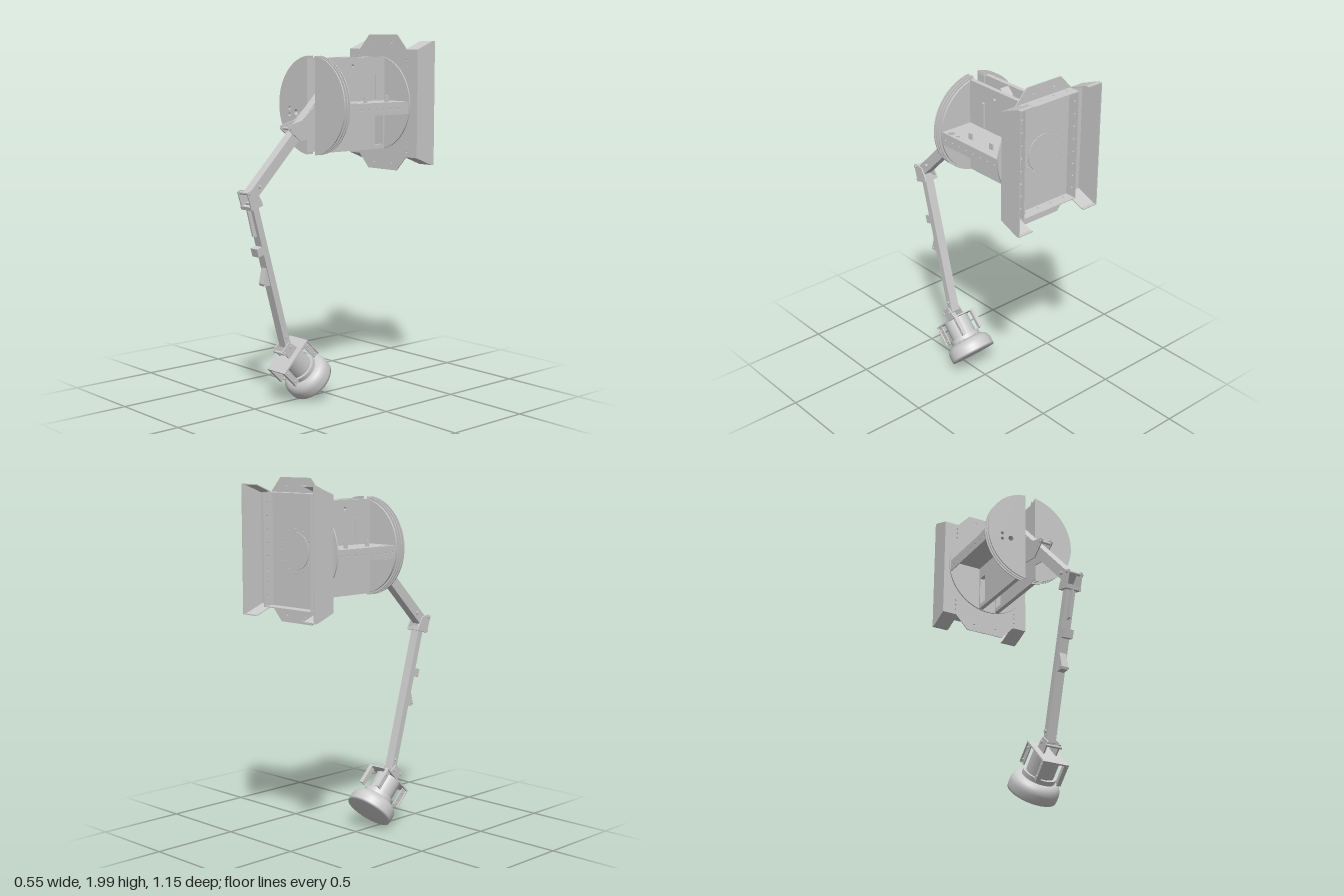
import * as THREE from 'three';

const material = new THREE.MeshStandardMaterial({ color: 0xcccccc, side: THREE.DoubleSide });
const CY = 1.62; // height of the drum axis

function add(parent, name, geometry, x = 0, y = 0, z = 0) {
  const mesh = new THREE.Mesh(geometry, material);
  mesh.name = name;
  mesh.position.set(x, y, z);
  parent.add(mesh);
  return mesh;
}

const box = (parent, name, w, h, d, x, y, z) =>
  add(parent, name, new THREE.BoxGeometry(w, h, d), x, y, z);

const shapeOf = (points) => new THREE.Shape(points.map(([a, b]) => new THREE.Vector2(a, b)));

function punch(shape, x, y, r) {
  shape.holes.push(new THREE.Path().absarc(x, y, r, 0, Math.PI * 2, true));
}

const extrude = (shape, depth) =>
  new THREE.ExtrudeGeometry(shape, { depth, bevelEnabled: false, curveSegments: 32 });

// Plate lying in the z-y plane, spanning x0 to x1
function sidePlate(parent, name, shape, x0, x1) {
  const mesh = add(parent, name, extrude(shape, x1 - x0), x1);
  mesh.rotation.y = -Math.PI / 2;
  return mesh;
}

// Square tube between two [z, y] points
function beam(parent, name, a, b, width, thick) {
  const dz = b[0] - a[0], dy = b[1] - a[1];
  const mesh = box(parent, name, width, Math.hypot(dz, dy), thick,
    0, (a[1] + b[1]) / 2, (a[0] + b[0]) / 2);
  mesh.rotation.x = Math.atan2(dz, dy);
}

// Bolt running along x
function pin(parent, name, z, y, half, r) {
  add(parent, name, new THREE.CylinderGeometry(r, r, half * 2, 16), 0, y, z).rotation.z = Math.PI / 2;
}

// Half disc left beside the central slot, on side s
function halfDisc(r, s, cut) {
  const a = Math.acos(cut / r), mid = s > 0 ? 0 : Math.PI;
  return new THREE.Shape().absarc(0, 0, r, mid - a, mid + a, false);
}

function buildBackPlate(parent) {
  const g = new THREE.Group();
  g.name = 'backPlate';
  parent.add(g);
  const quarter = [[0.115, 0.38], [0.19, 0.3], [0.275, 0.3]];
  const outline = [
    ...quarter, ...quarter.map(([x, y]) => [x, -y]).reverse(),
    ...quarter.map(([x, y]) => [-x, -y]), ...quarter.map(([x, y]) => [-x, y]).reverse(),
  ];
  const plate = shapeOf(outline);
  for (const s of [1, -1]) for (const t of [1, -1]) {
    punch(plate, s * 0.07, t * 0.34, 0.005);
    for (const y of [0.21, 0.24, 0.27]) punch(plate, s * 0.195, t * y, 0.005);
  }
  add(g, 'mountPlate', extrude(plate, 0.005), 0, CY, -0.444);

  for (const s of [1, -1]) {
    // Side channel: outer wall plus sloping ends
    const wall = shapeOf([[-0.44, 1.92], [-0.555, 1.965], [-0.575, 1.965],
      [-0.575, 1.275], [-0.555, 1.275], [-0.44, 1.32]]);
    sidePlate(g, 'wingWall', wall, s * 0.2725 - 0.0025, s * 0.2725 + 0.0025);
    for (const t of [1, -1]) {
      const end = [[-0.44, 0.3], [-0.555, 0.345], [-0.575, 0.345],
        [-0.575, 0.34], [-0.555, 0.34], [-0.44, 0.295]].map(([z, y]) => [z, CY + t * y]);
      sidePlate(g, 'wingEnd', shapeOf(end), s * 0.2275 - 0.0475, s * 0.2275 + 0.0475);
    }
    // Rear tray walls, drilled for bolts
    const trayWall = shapeOf([[-0.442, 1.32], [-0.51, 1.32], [-0.51, 1.92], [-0.442, 1.92]]);
    for (let i = 0; i < 8; i++) punch(trayWall, -0.486, 1.375 + i * 0.07, 0.006);
    sidePlate(g, 'traySide', trayWall, s * 0.18 - 0.0025, s * 0.18 + 0.0025);
    const end = shapeOf([[-0.18, -0.51], [0.18, -0.51], [0.18, -0.442], [-0.18, -0.442]]);
    for (const x of [-0.135, -0.045, 0.045, 0.135]) punch(end, x, -0.466, 0.006);
    add(g, 'trayEnd', extrude(end, 0.005), 0, CY + s * 0.3 + 0.0025, 0).rotation.x = Math.PI / 2;
  }
  // Round cover with its ring of bolts
  const cover = add(g, 'bearingCover', new THREE.CylinderGeometry(0.1, 0.1, 0.004, 48), 0, CY, -0.446);
  cover.rotation.x = Math.PI / 2;
  for (let i = 0; i < 12; i++) {
    const a = i * Math.PI / 6;
    add(g, 'coverBolt', new THREE.CylinderGeometry(0.004, 0.004, 0.006, 8),
      0.115 * Math.cos(a), CY + 0.115 * Math.sin(a), -0.446).rotation.x = Math.PI / 2;
  }
}

function buildDrum(parent) {
  const g = new THREE.Group();
  g.name = 'drum';
  parent.add(g);
  const rear = add(g, 'rearDisc', new THREE.CylinderGeometry(0.262, 0.262, 0.008, 64), 0, CY, -0.395);
  rear.rotation.x = Math.PI / 2;
  for (const s of [1, -1]) {
    // Split front disc with thin raised rims
    const rims = [[0.257, 0.045, 0.05], [0.27, 0.055, 0.004], [0.27, 0.073, 0.004], [0.27, 0.092, 0.006]];
    for (const [r, z, depth] of rims) {
      const half = halfDisc(r, s, 0.032);
      if (s < 0) {
        punch(half, -0.125, -0.04, 0.016);
        punch(half, -0.18, -0.02, 0.01);
        punch(half, -0.18, -0.055, 0.01);
      }
      add(g, 'frontDiscHalf', extrude(half, depth), 0, CY, z);
    }
    // Inner wall with a window
    const wall = shapeOf([[0.045, 1.365], [0.045, 1.877], [-0.391, 1.877], [-0.391, 1.365]]);
    wall.holes.push(new THREE.Path([[-0.32, 1.39], [-0.38, 1.39], [-0.38, 1.56], [-0.32, 1.56]]
      .map(([z, y]) => new THREE.Vector2(z, y))));
    punch(wall, -0.148, 1.83, 0.009);
    sidePlate(g, 'innerWall', wall, s * 0.0525 - 0.0125, s * 0.0525 + 0.0125);
    // Shelf (shape y is flipped z) with two holes and a drilled lip
    const shelf = shapeOf([[s * 0.06, -0.045], [s * 0.255, -0.045], [s * 0.255, 0.391], [s * 0.06, 0.391]]);
    punch(shelf, s * 0.23, 0, 0.018);
    punch(shelf, s * 0.23, 0.05, 0.01);
    add(g, 'shelf', extrude(shelf, 0.006), 0, 1.63, 0).rotation.x = -Math.PI / 2;
    const lip = shapeOf([[0.045, 1.567], [0.045, 1.636], [-0.391, 1.636], [-0.391, 1.567]]);
    for (let i = 0; i < 8; i++) punch(lip, 0.02 - i * 0.055, 1.6, 0.005);
    sidePlate(g, 'shelfLip', lip, s * 0.2525 - 0.0025, s * 0.2525 + 0.0025);
    // Wall bars, shelf clips and inner pegs
    for (const z of [-0.065, -0.325]) box(g, 'wallBar', 0.012, 0.135, 0.018, s * 0.069, 1.715, z);
    for (const z of [-0.118, -0.278]) box(g, 'shelfClip', 0.008, 0.034, 0.024, s * 0.2, 1.652, z);
    box(g, 'innerPeg', 0.026, 0.014, 0.014, s * 0.028, 1.76, -0.225);
  }
}

function buildArm(parent) {
  const g = new THREE.Group();
  g.name = 'arm';
  parent.add(g);
  beam(g, 'upperArm', [0.52, 1.165], [-0.17, 1.86], 0.055, 0.058);
  beam(g, 'lowerArm', [0.512, 1.13], [0.285, 0.32], 0.054, 0.037);

  // Shoulder and elbow cheeks on both sides of the arm
  const shoulder = [[0.29, 1.505], [0.285, 1.52], [0.19, 1.545], [0.1, 1.62], [0.1, 1.45], [0.2, 1.435], [0.265, 1.485]];
  const elbow = [[0.572, 1.185], [0.555, 1.195], [0.505, 1.185], [0.47, 1.125], [0.545, 1.1]];
  for (const s of [1, -1]) {
    sidePlate(g, 'shoulderCheek', shapeOf(shoulder), s * 0.031 - 0.003, s * 0.031 + 0.003);
    sidePlate(g, 'elbowCheek', shapeOf(elbow), s * 0.04 - 0.004, s * 0.04 + 0.004);
  }
  pin(g, 'shoulderBolt', 0.265, 1.505, 0.04, 0.008);
  pin(g, 'elbowBolt', 0.555, 1.18, 0.052, 0.009);
  pin(g, 'elbowBolt', 0.475, 1.21, 0.04, 0.009);
  pin(g, 'innerBolt', -0.155, 1.845, 0.038, 0.008);
  beam(g, 'elbowFlange', [0.512, 1.118], [0.507, 1.1], 0.09, 0.08);

  // Stiffener, cable clip and lug on the front of the lower arm
  const fin = [[0.545, 1.1], [0.505, 0.945], [0.49, 0.94], [0.455, 0.945], [0.5, 1.11]];
  sidePlate(g, 'elbowStiffener', shapeOf(fin), -0.005, 0.005);
  beam(g, 'cableClip', [0.477, 0.885], [0.464, 0.84], 0.054, 0.045);
  const lug = [[0.425, 0.79], [0.45, 0.685], [0.445, 0.672], [0.395, 0.672]];
  sidePlate(g, 'cableLug', shapeOf(lug), -0.02, 0.02);
  pin(g, 'lugBolt', 0.44, 0.685, 0.027, 0.005);

  // Wrist fork
  const fork = [[0.335, 0.3], [0.325, 0.315], [0.29, 0.345], [0.27, 0.335], [0.235, 0.31], [0.29, 0.255]];
  for (const s of [1, -1])
    sidePlate(g, 'wristCheek', shapeOf(fork), s * 0.036 - 0.004, s * 0.036 + 0.004);
  pin(g, 'wristBolt', 0.298, 0.375, 0.036, 0.008);
  pin(g, 'wristBolt', 0.325, 0.288, 0.048, 0.008);
  pin(g, 'wristBolt', 0.278, 0.32, 0.048, 0.008);
}

function buildHead(parent) {
  const g = new THREE.Group();
  g.name = 'head';
  g.position.set(0, 0.1, 0.103);
  g.rotation.x = Math.PI / 4;
  parent.add(g);
  // Rounded foot cup
  const cup = [[0, 0], [0.133, 0], [0.135, 0.015], [0.135, 0.045], [0.13, 0.065],
    [0.118, 0.082], [0.1, 0.093], [0.075, 0.097], [0, 0.097]].map(([r, y]) => new THREE.Vector2(r, y));
  add(g, 'footCup', new THREE.LatheGeometry(cup, 48));
  add(g, 'motorCollar', new THREE.CylinderGeometry(0.09, 0.09, 0.025, 48), 0, 0.108, 0);
  add(g, 'motorBody', new THREE.CylinderGeometry(0.075, 0.075, 0.12, 48), 0, 0.175, 0);
  // Cap plate carried on four angle posts
  box(g, 'capPlate', 0.15, 0.008, 0.23, 0, 0.236, 0);
  for (const s of [1, -1]) for (const t of [1, -1]) {
    box(g, 'postWeb', 0.006, 0.118, 0.036, s * 0.062, 0.177, t * 0.096);
    box(g, 'postFlange', 0.024, 0.118, 0.005, s * 0.062, 0.177, t * 0.112);
    for (const y of [0.14, 0.21]) {
      add(g, 'postBolt', new THREE.CylinderGeometry(0.006, 0.006, 0.014, 12), s * 0.066, y, t * 0.096)
        .rotation.z = Math.PI / 2;
    }
  }
}

export function createModel() {
  const model = new THREE.Group();
  model.name = 'jointedArmUnit';
  buildBackPlate(model);
  buildDrum(model);
  buildArm(model);
  buildHead(model);
  return model;
}
